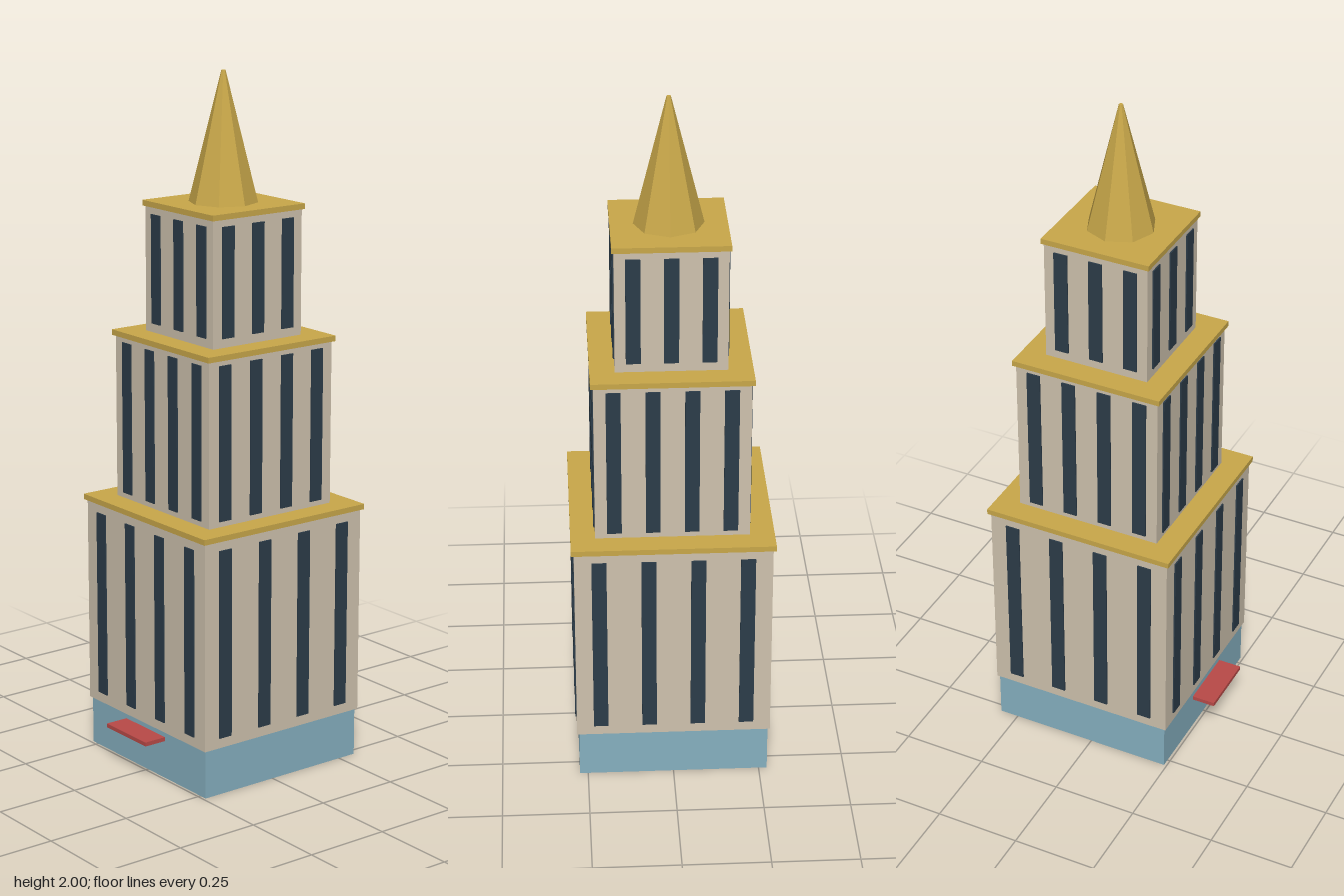
import * as THREE from 'three';

const mat = (name, color) => {
  const m = new THREE.MeshStandardMaterial({ color });
  m.name = name;
  return m;
};

export function createModel() {
  const stone = mat('stone', 0xcfc2ae);
  const glass = mat('darkGlass', 0x2c3c49);
  const gold = mat('gold', 0xc9a84a);
  const lobbyBlue = mat('lobbyBlue', 0x86b0c0);
  const red = mat('awningRed', 0xb94a48);

  const model = new THREE.Group();
  model.name = 'tower';
  const tower = new THREE.Group();
  tower.name = 'building';
  tower.position.z = -0.0325;
  model.add(tower);

  const add = (parent, name, geometry, material, x, y, z) => {
    const mesh = new THREE.Mesh(geometry, material);
    mesh.name = name;
    mesh.position.set(x, y, z);
    parent.add(mesh);
    return mesh;
  };
  // Square block between two heights
  const block = (parent, name, half, y0, y1, material) =>
    add(parent, name, new THREE.BoxGeometry(half * 2, y1 - y0, half * 2), material, 0, (y0 + y1) / 2, 0);

  // Glazed ground floor
  block(tower, 'lobby', 0.274, 0, 0.142, lobbyBlue);

  // Stepped tiers, each with a gold cornice and window strips on all four sides
  const tiers = [
    { half: 0.28, y0: 0.142, y1: 0.766, cap: 0.288, win: [0.172, 0.722], count: 4, pitch: 0.14, width: 0.042 },
    { half: 0.218, y0: 0.766, y1: 1.257, cap: 0.226, win: [0.782, 1.226], count: 4, pitch: 0.109, width: 0.041 },
    { half: 0.156, y0: 1.257, y1: 1.632, cap: 0.162, win: [1.283, 1.596], count: 3, pitch: 0.105, width: 0.041 },
  ];
  tiers.forEach((t, i) => {
    const tier = new THREE.Group();
    tier.name = `tier${i + 1}`;
    tower.add(tier);
    block(tier, 'wall', t.half, t.y0, t.y1 - 0.016, stone);
    block(tier, 'cornice', t.cap, t.y1 - 0.016, t.y1, gold);
    const strip = new THREE.BoxGeometry(t.width, t.win[1] - t.win[0], 0.008);
    for (let side = 0; side < 4; side++) {
      const face = new THREE.Group();
      face.name = 'windowSide';
      face.rotation.y = side * Math.PI / 2;
      tier.add(face);
      for (let k = 0; k < t.count; k++) {
        const x = (k - (t.count - 1) / 2) * t.pitch;
        add(face, 'windowStrip', strip, glass, x, (t.win[0] + t.win[1]) / 2, t.half);
      }
    }
  });

  // Eight-sided spire with a tiny blunt tip
  const spire = new THREE.CylinderGeometry(0.006, 0.098, 0.368, 8).toNonIndexed();
  spire.computeVertexNormals();
  add(tower, 'spire', spire, gold, 0, 1.816, 0);

  // Entrance awning
  add(model, 'awning', new THREE.BoxGeometry(0.188, 0.012, 0.069), red, 0, 0.124, 0.284);

  return model;
}
